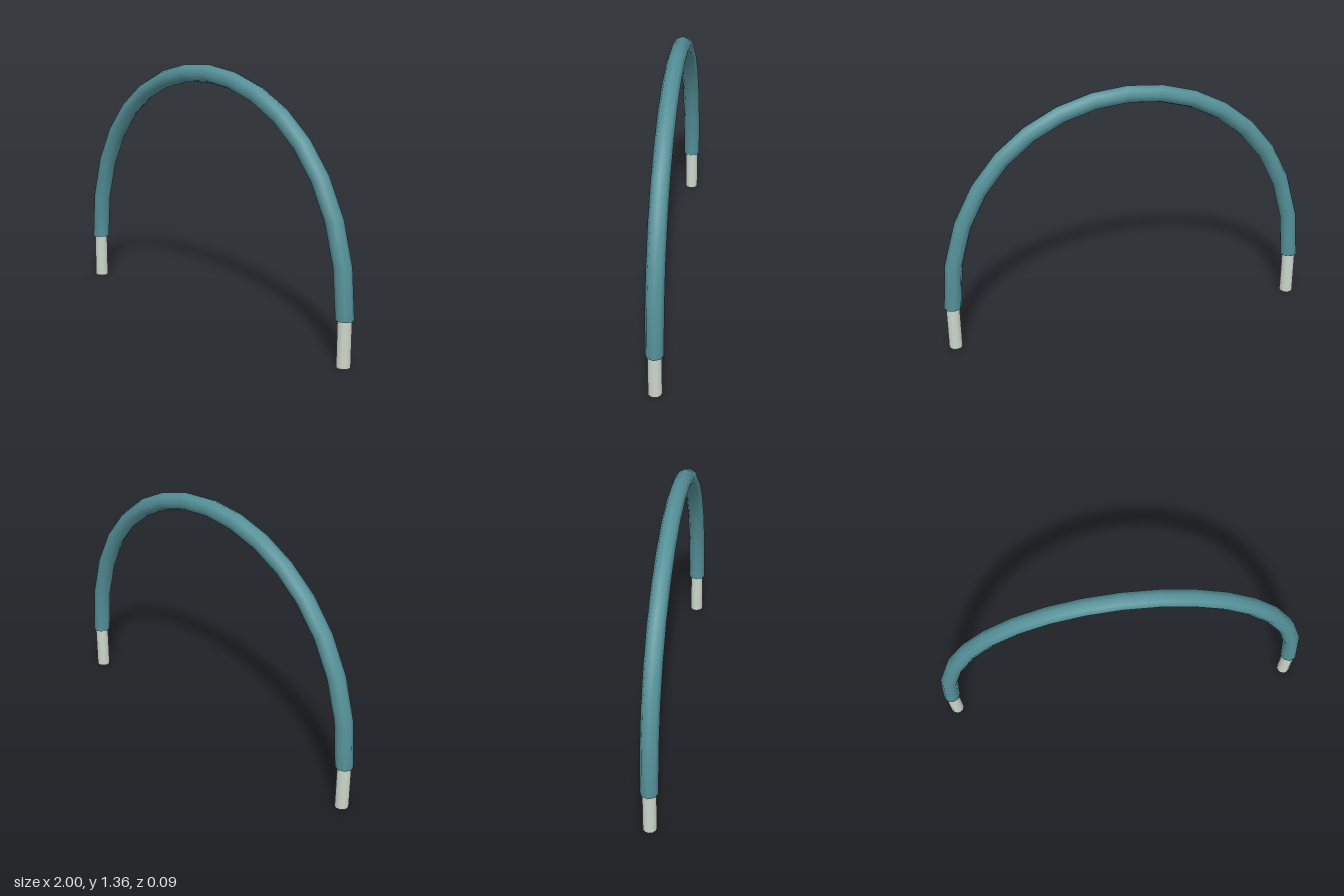
import * as THREE from 'three';

const HALF_SPAN = 0.954, SLEEVE_BOTTOM = 0.24, CONTROL_Y = 1.667;

export function createModel() {
  const group = new THREE.Group();
  const sleeveMaterial = new THREE.MeshStandardMaterial({ color: 0x559199, side: THREE.DoubleSide });
  const pipeMaterial = new THREE.MeshStandardMaterial({ color: 0xccd6cc, side: THREE.DoubleSide });

  // Arched sleeve: one Bezier sampled at even parameter steps, so segments lengthen toward the ends
  const arch = new THREE.CubicBezierCurve3(
    new THREE.Vector3(-HALF_SPAN, SLEEVE_BOTTOM, 0),
    new THREE.Vector3(-HALF_SPAN, CONTROL_Y, 0),
    new THREE.Vector3(HALF_SPAN, CONTROL_Y, 0),
    new THREE.Vector3(HALF_SPAN, SLEEVE_BOTTOM, 0)
  );
  arch.getUtoTmapping = (u) => u;
  const sleeve = new THREE.Mesh(new THREE.TubeGeometry(arch, 16, 0.046, 8, false), sleeveMaterial);
  sleeve.name = 'archSleeve';
  group.add(sleeve);

  // Hollow pipe ends, reaching a little way into the sleeve
  const pipeHeight = SLEEVE_BOTTOM + 0.02;
  const pipeGeometry = new THREE.CylinderGeometry(0.036, 0.036, pipeHeight, 12, 1, true);
  for (const [name, side] of [['leftPipeEnd', 1], ['rightPipeEnd', -1]]) {
    const pipe = new THREE.Mesh(pipeGeometry, pipeMaterial);
    pipe.name = name;
    pipe.position.set(side * HALF_SPAN, pipeHeight / 2, 0);
    group.add(pipe);
  }

  return group;
}
